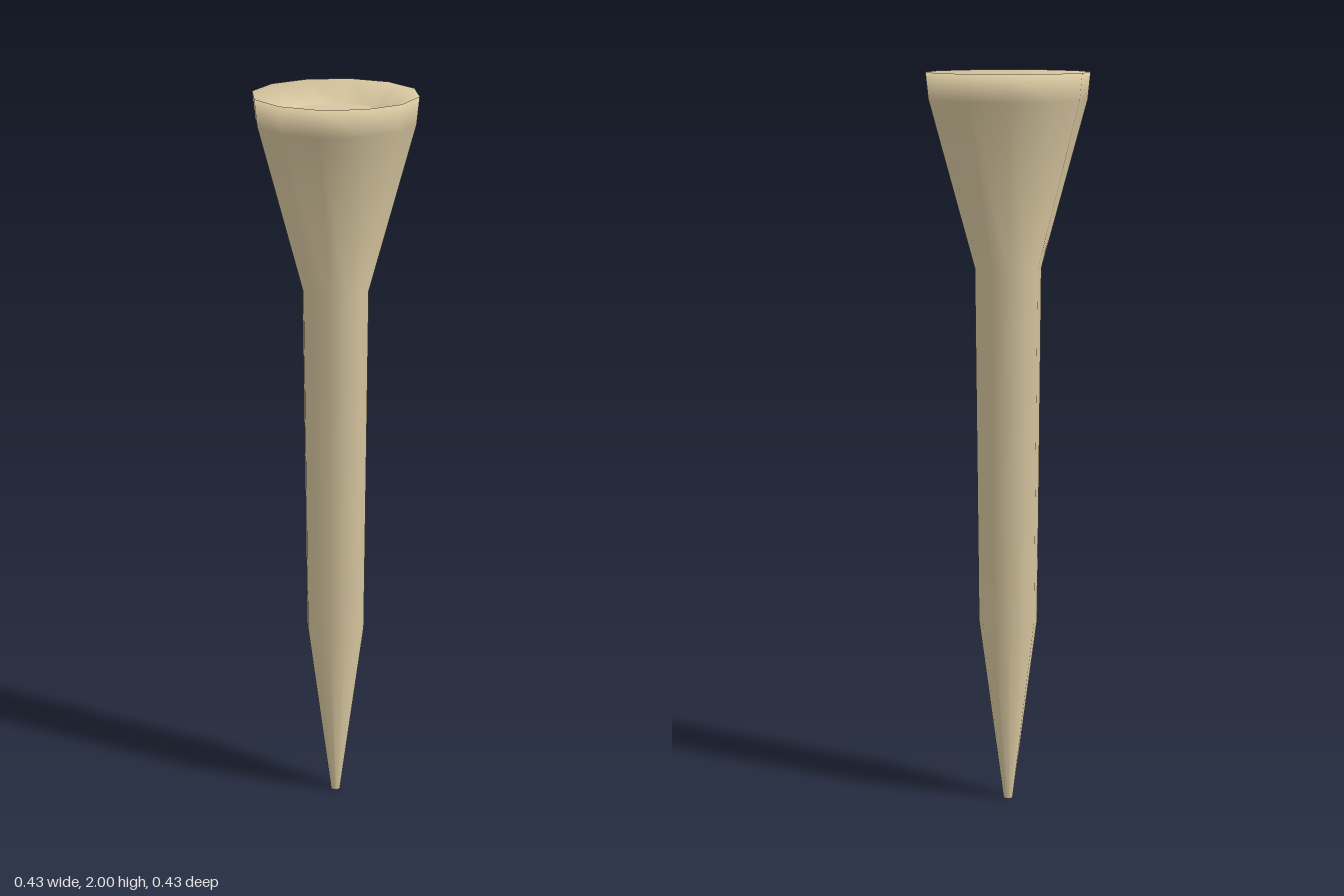
import * as THREE from 'three';

const SIDES = 12;

export function createModel() {
  const group = new THREE.Group();
  group.name = 'peg';
  const wood = new THREE.MeshStandardMaterial({ color: 0xd8c7a0 });
  wood.name = 'pale wood';

  const add = (name, geometry) => {
    const mesh = new THREE.Mesh(geometry, wood);
    mesh.name = name;
    group.add(mesh);
    return mesh;
  };

  // Turned body: pointed tip, slim shaft, flared head, rim and sloping cup wall
  const profile = [
    [0.013, 0], [0.08, 0.52], [0.088, 1.49], [0.207, 1.93], [0.214, 2], [0.127, 1.95],
  ].map(([r, y]) => new THREE.Vector2(r, y));
  add('body', new THREE.LatheGeometry(profile, SIDES));

  // Flat discs closing the cup and the tip; turned so corners meet the body
  const disc = (name, radius, y, tilt) => {
    const mesh = add(name, new THREE.CircleGeometry(radius, SIDES));
    mesh.rotation.x = tilt;
    mesh.position.y = y;
  };
  disc('cupFloor', 0.127, 1.95, -Math.PI / 2);
  disc('tipCap', 0.013, 0, Math.PI / 2);

  return group;
}
